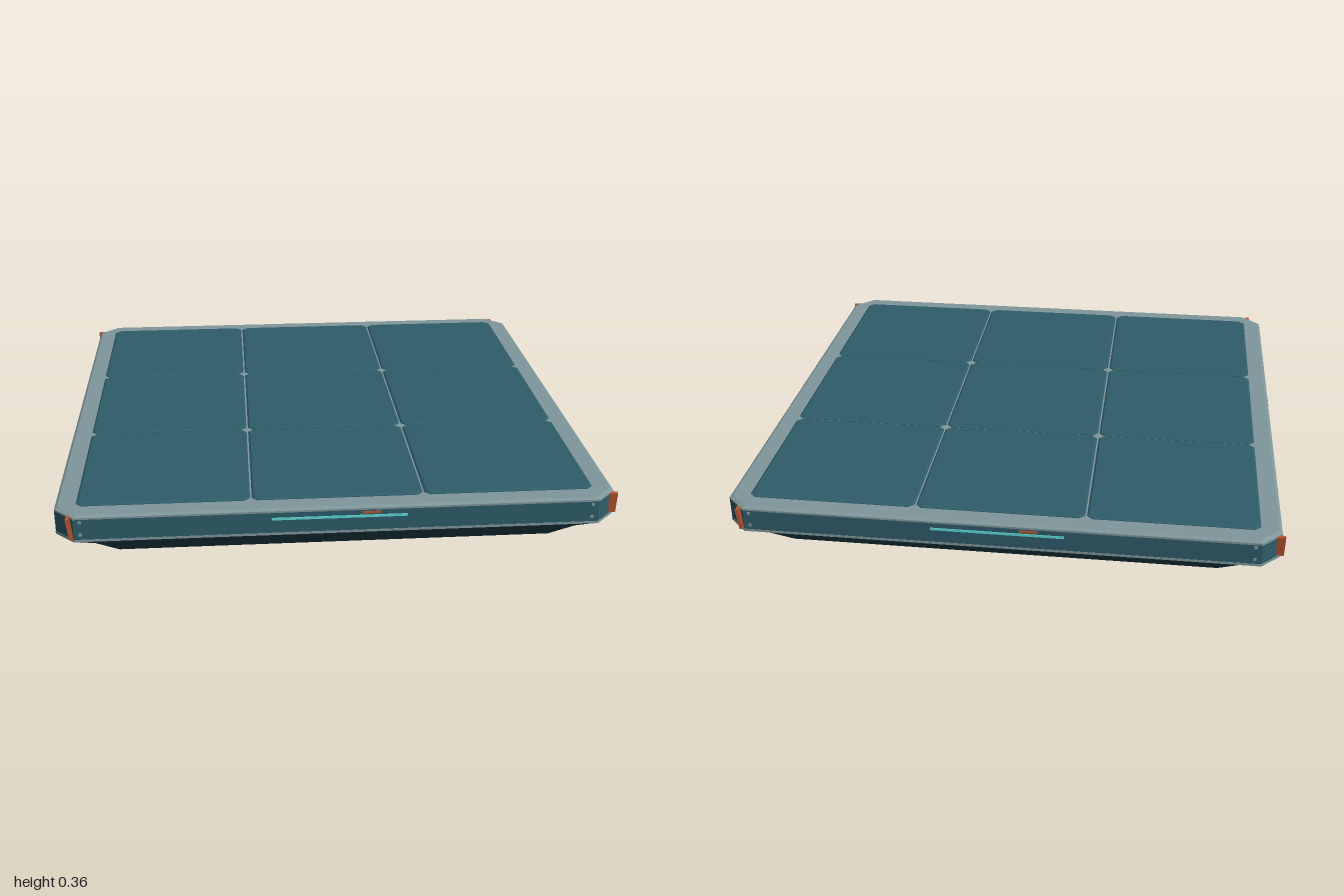
import * as THREE from 'three';

const mat = (name, color) => {
  const m = new THREE.MeshStandardMaterial({ color, flatShading: true });
  m.name = name;
  return m;
};

// Chamfered rectangle, counter-clockwise seen from above
function ring([hx, hz, c, y]) {
  const a = hx - c, b = hz - c;
  return [[hx, b], [hx, -b], [a, -hz], [-a, -hz], [-hx, -b], [-hx, b], [-a, hz], [a, hz]]
    .map(([x, z]) => [x, y, z]);
}

// Closed solid through chamfered rectangles [halfX, halfZ, chamfer, y], bottom to top
function loft(sections) {
  const rings = sections.map(ring), pos = [];
  const tri = (...pts) => pts.forEach((p) => pos.push(...p));
  for (let k = 0; k < rings.length - 1; k++) {
    const lo = rings[k], hi = rings[k + 1];
    for (let i = 0; i < 8; i++) {
      const j = (i + 1) % 8;
      tri(lo[i], lo[j], hi[j]);
      tri(lo[i], hi[j], hi[i]);
    }
  }
  const bottom = rings[0], top = rings[rings.length - 1];
  for (let i = 1; i < 7; i++) {
    tri(bottom[0], bottom[i + 1], bottom[i]);
    tri(top[0], top[i], top[i + 1]);
  }
  const g = new THREE.BufferGeometry();
  g.setAttribute('position', new THREE.Float32BufferAttribute(pos, 3));
  g.computeVertexNormals();
  return g;
}

const square = (list) => loft(list.map(([h, c, y]) => [h, h, c, y]));

export function createModel() {
  const model = new THREE.Group();
  model.name = 'floatingPlatform';
  const teal = mat('teal panel', 0x2e5c69);
  const dark = mat('dark hull', 0x1f414a);
  const pale = mat('pale trim', 0x7f979b);
  const orange = mat('orange accent', 0xb8552f);
  const cyan = mat('cyan light', 0x5fd8d0);
  const mint = mat('foot ring', 0x4f8a8e);

  const add = (parent, name, geometry, material, x = 0, y = 0, z = 0) => {
    const m = new THREE.Mesh(geometry, material);
    m.name = name;
    m.position.set(x, y, z);
    parent.add(m);
    return m;
  };
  const box = (w, h, d) => new THREE.BoxGeometry(w, h, d);

  // Body, from keel to deck
  add(model, 'hull', square([
    [0.67, 0.09, 0.08], [0.87, 0.09, 0.15], [0.935, 0.08, 0.215], [0.985, 0.07, 0.25],
  ]), dark);
  add(model, 'lowerTrim', square([[0.985, 0.07, 0.249], [0.991, 0.07, 0.252], [0.991, 0.07, 0.261]]), pale);
  add(model, 'rim', square([[0.99, 0.07, 0.26], [0.99, 0.07, 0.338]]), teal);
  add(model, 'deckFrame', square([[0.99, 0.07, 0.337], [0.99, 0.07, 0.345], [0.98, 0.07, 0.352]]), pale);

  // Nine bevelled deck tiles
  const tile = square([[0.3035, 0.02, 0.345], [0.3035, 0.02, 0.354], [0.296, 0.018, 0.359]]);
  for (let i = -1; i <= 1; i++) {
    for (let j = -1; j <= 1; j++) add(model, 'deckTile', tile, teal, i * 0.613, 0, j * 0.613);
  }

  // The same details on each of the four sides
  for (let s = 0; s < 4; s++) {
    const side = new THREE.Group();
    side.name = 'sideDetails';
    side.rotation.y = s * Math.PI / 2;
    add(side, 'lightStrip', box(0.475, 0.009, 0.006), cyan, 0, 0.315, 0.99);
    add(side, 'statusMark', box(0.065, 0.008, 0.006), orange, 0.112, 0.329, 0.99);
    add(side, 'cornerMark', box(0.013, 0.08, 0.03), orange, -0.933, 0.305, 0.985).rotation.z = 0.12;
    for (const x of [-0.897, 0.897]) {
      for (const y of [0.28, 0.328]) add(side, 'rivet', box(0.011, 0.011, 0.006), pale, x, y, 0.99);
    }
    model.add(side);
  }

  // Four feet under the hull
  const column = loft([
    [0.066, 0.05, 0.025, 0.04], [0.05, 0.042, 0.02, 0.06], [0.046, 0.04, 0.018, 0.074], [0.058, 0.048, 0.02, 0.082],
  ]);
  const flange = loft([
    [0.1, 0.07, 0.035, 0.014], [0.11, 0.078, 0.038, 0.024], [0.11, 0.078, 0.038, 0.031],
  ]);
  const shoulder = loft([[0.108, 0.076, 0.036, 0.031], [0.066, 0.05, 0.025, 0.045]]);
  const sole = loft([[0.078, 0.055, 0.028, 0], [0.09, 0.063, 0.032, 0.015]]);
  for (let s = 0; s < 4; s++) {
    const angle = s * Math.PI / 2;
    const foot = new THREE.Group();
    foot.name = 'foot';
    foot.position.set(Math.sin(angle) * 0.53, 0, Math.cos(angle) * 0.53);
    add(foot, 'column', column, teal);
    add(foot, 'shoulder', shoulder, teal);
    add(foot, 'flange', flange, mint);
    add(foot, 'sole', sole, dark);
    model.add(foot);

    // Cables from the foot up to the keel on either side
    const cables = new THREE.Group();
    cables.name = 'cables';
    cables.rotation.y = angle;
    for (const m of [-1, 1]) {
      const path = new THREE.CatmullRomCurve3([
        new THREE.Vector3(m * 0.04, 0.042, 0.525),
        new THREE.Vector3(m * 0.2, 0.056, 0.475),
        new THREE.Vector3(m * 0.36, 0.077, 0.395),
      ]);
      add(cables, 'cable', new THREE.TubeGeometry(path, 8, 0.006, 6), orange);
      add(cables, 'bracket', box(0.03, 0.014, 0.03), dark, m * 0.055, 0.073, 0.51);
    }
    model.add(cables);
  }
  return model;
}
